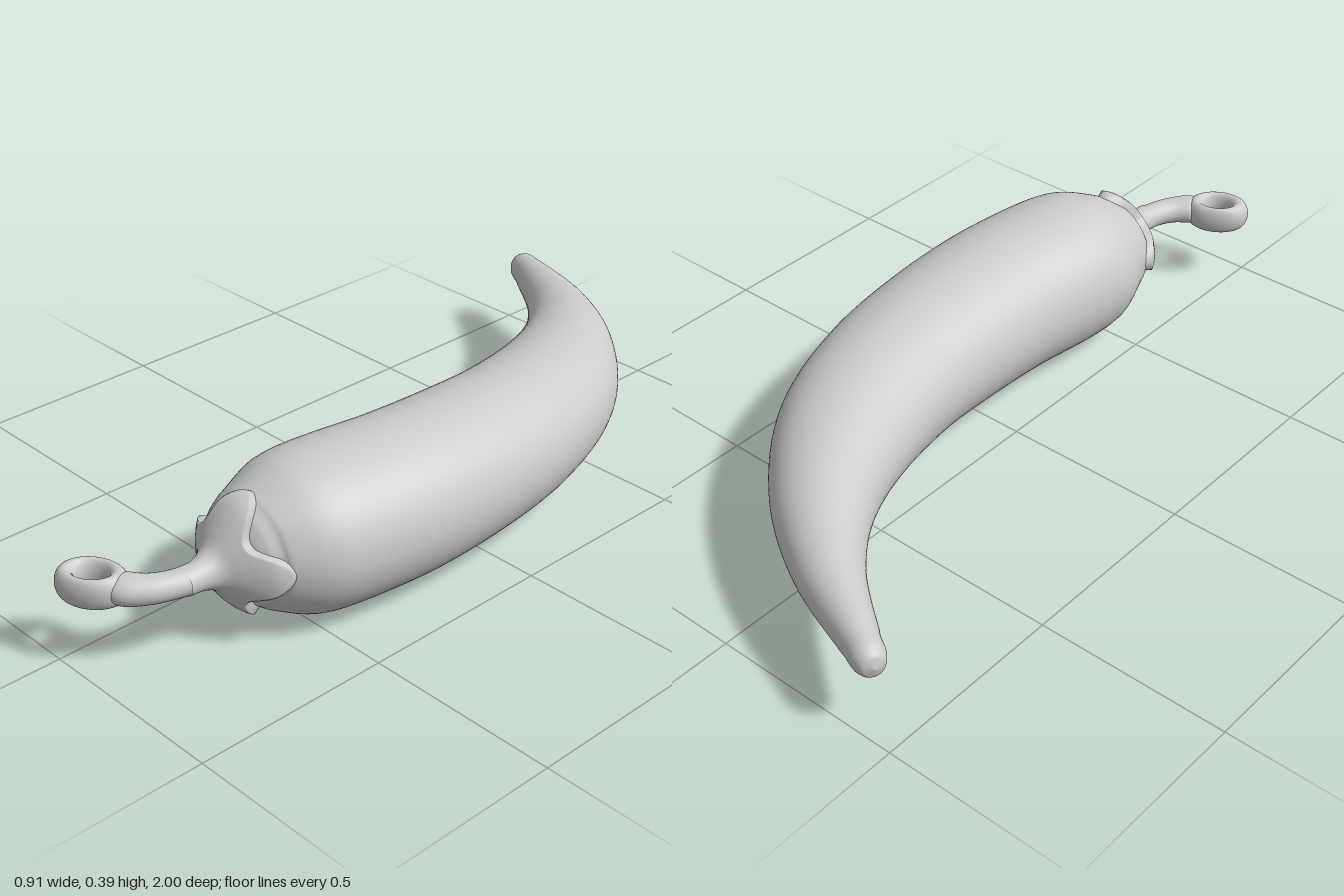
import * as THREE from 'three';

const MID = 0.2; // height of the plane the pepper bends in
const material = new THREE.MeshStandardMaterial({ color: 0xcccccc, side: THREE.DoubleSide });

// Smooth skin over rows of rings; point(u, angle) returns a Vector3
function skin(name, rows, sides, point) {
  const pos = [], index = [];
  for (let i = 0; i <= rows; i++) {
    for (let j = 0; j < sides; j++) {
      pos.push(...point(i / rows, (j / sides) * Math.PI * 2, i).toArray());
      if (i === rows) continue;
      const a = i * sides + j, b = i * sides + (j + 1) % sides;
      index.push(a, b, a + sides, b, b + sides, a + sides);
    }
  }
  const geo = new THREE.BufferGeometry();
  geo.setAttribute('position', new THREE.Float32BufferAttribute(pos, 3));
  geo.setIndex(index);
  geo.computeVertexNormals();
  const mesh = new THREE.Mesh(geo, material);
  mesh.name = name;
  return mesh;
}

// Elliptical sections [x, z, half width, half height] swept along a bent line
function sweep(name, sections, rows, sides, closed = false) {
  const path = new THREE.CatmullRomCurve3(sections.map(([x, z]) => new THREE.Vector3(x, MID, z)), closed);
  const radii = new THREE.CatmullRomCurve3(
    sections.map(([, , w, h]) => new THREE.Vector3(w, h, 0)), closed, 'catmullrom', 0.5);
  return skin(name, rows, sides, (u, a) => {
    const p = path.getPoint(u), t = path.getTangent(u), r = radii.getPoint(u);
    const w = Math.max(0, r.x) * Math.cos(a), h = Math.max(0, r.y) * Math.sin(a);
    return new THREE.Vector3(p.x + t.z * w, p.y + h, p.z - t.x * w);
  });
}

export function createModel() {
  const group = new THREE.Group();
  group.name = 'chilliPepper';

  // Curved fruit, from the blunt shoulder to the narrow tip
  group.add(sweep('fruit', [
    [0.19, 0.668, 0, 0], [0.19, 0.655, 0.08, 0.08], [0.19, 0.63, 0.12, 0.12],
    [0.19, 0.595, 0.148, 0.145], [0.2, 0.5, 0.198, 0.186], [0.215, 0.39, 0.213, 0.196],
    [0.237, 0.2, 0.212, 0.193], [0.237, 0, 0.207, 0.184], [0.215, -0.22, 0.195, 0.171],
    [0.145, -0.45, 0.173, 0.15], [0.005, -0.67, 0.125, 0.117], [-0.165, -0.825, 0.082, 0.081],
    [-0.36, -0.935, 0.047, 0.053], [-0.42, -0.965, 0.039, 0.043],
    [-0.444, -0.976, 0.026, 0.028], [-0.452, -0.98, 0, 0],
  ], 120, 64));

  // Four-lobed cap hugging the shoulder and narrowing into the stem
  const profile = new THREE.CatmullRomCurve3([
    [0.156, 0.6], [0.142, 0.636], [0.115, 0.664], [0.085, 0.687],
    [0.05, 0.715], [0.036, 0.75], [0.033, 0.79],
  ].map(([r, z]) => new THREE.Vector3(r, 0, z)));
  group.add(skin('calyx', 24, 96, (u, a, row) => {
    const lobe = Math.pow((1 + Math.cos(4 * a)) / 2, 1.2);
    const start = 0.4 * (1 - lobe);
    const p = profile.getPoint(THREE.MathUtils.lerp(start, 1, Math.max(0, (row - 1) / 23)));
    if (row === 0) { p.x *= 0.9; p.z -= 0.025; } // rim tucked into the fruit
    return new THREE.Vector3(0.19 + p.x * Math.cos(a), MID + p.x * Math.sin(a), p.z);
  }));

  // Stem bending towards the eyelet
  group.add(sweep('stem', [
    [0.19, 0.68, 0.03, 0.03], [0.19, 0.75, 0.035, 0.034], [0.179, 0.81, 0.034, 0.033],
    [0.155, 0.86, 0.038, 0.034], [0.122, 0.894, 0.043, 0.036], [0.105, 0.902, 0.036, 0.03],
    [0.099, 0.906, 0, 0],
  ], 40, 32));

  // Flattened eyelet at the end of the stem
  const eyelet = [];
  for (let i = 0; i < 16; i++) {
    const a = (i / 16) * Math.PI * 2, along = 0.061 * Math.cos(a), across = 0.044 * Math.sin(a);
    const w = 0.014 + 0.011 * Math.cos(a) ** 2;
    eyelet.push([0.053 + 0.87 * along + 0.5 * across, 0.932 - 0.5 * along + 0.87 * across, w, 0.038]);
  }
  group.add(sweep('eyelet', eyelet, 64, 24, true));

  return group;
}
